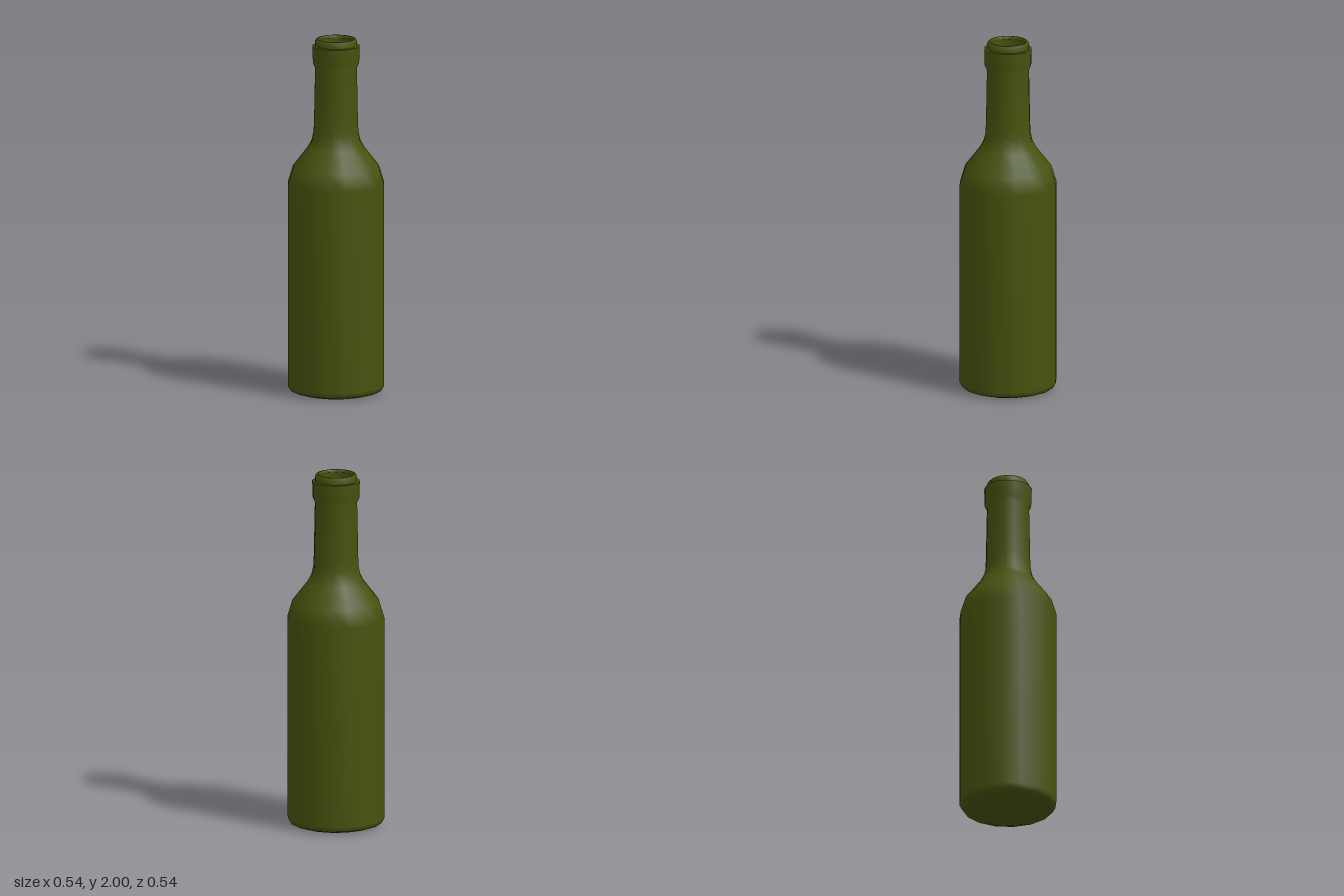
import * as THREE from 'three';

const SIDES = 16;

// Turns a profile of [radius, height] pairs into a named mesh
function turned(name, profile, material) {
  const points = profile.map(([r, y]) => new THREE.Vector2(r, y));
  const mesh = new THREE.Mesh(new THREE.LatheGeometry(points, SIDES), material);
  mesh.name = name;
  return mesh;
}

export function createModel() {
  const glass = new THREE.MeshStandardMaterial({ color: 0x46520e });
  glass.name = 'olive green glass';

  const bottle = new THREE.Group();
  bottle.name = 'bottle';

  // Base, straight wall, shoulder, neck and the outside of the collar
  bottle.add(turned('body', [
    [0, 0], [0.21, 0], [0.255, 0.015], [0.272, 0.045], [0.272, 1.18],
    [0.243, 1.275], [0.158, 1.385], [0.137, 1.425], [0.127, 1.47], [0.124, 1.53],
    [0.118, 1.84], [0.131, 1.868], [0.133, 1.96],
  ], glass));

  // Flat ledge on top of the collar
  bottle.add(turned('collarLedge', [[0.133, 1.96], [0.118, 1.962]], glass));

  // Rounded rim around the opening
  bottle.add(turned('rim', [
    [0.118, 1.96], [0.118, 1.985], [0.108, 2], [0.1, 2], [0.097, 1.985],
  ], glass));

  // Inside of the neck, closed by a shallow floor
  bottle.add(turned('neckInside', [[0.097, 1.985], [0.1, 1.55], [0, 1.5]], glass));

  return bottle;
}
